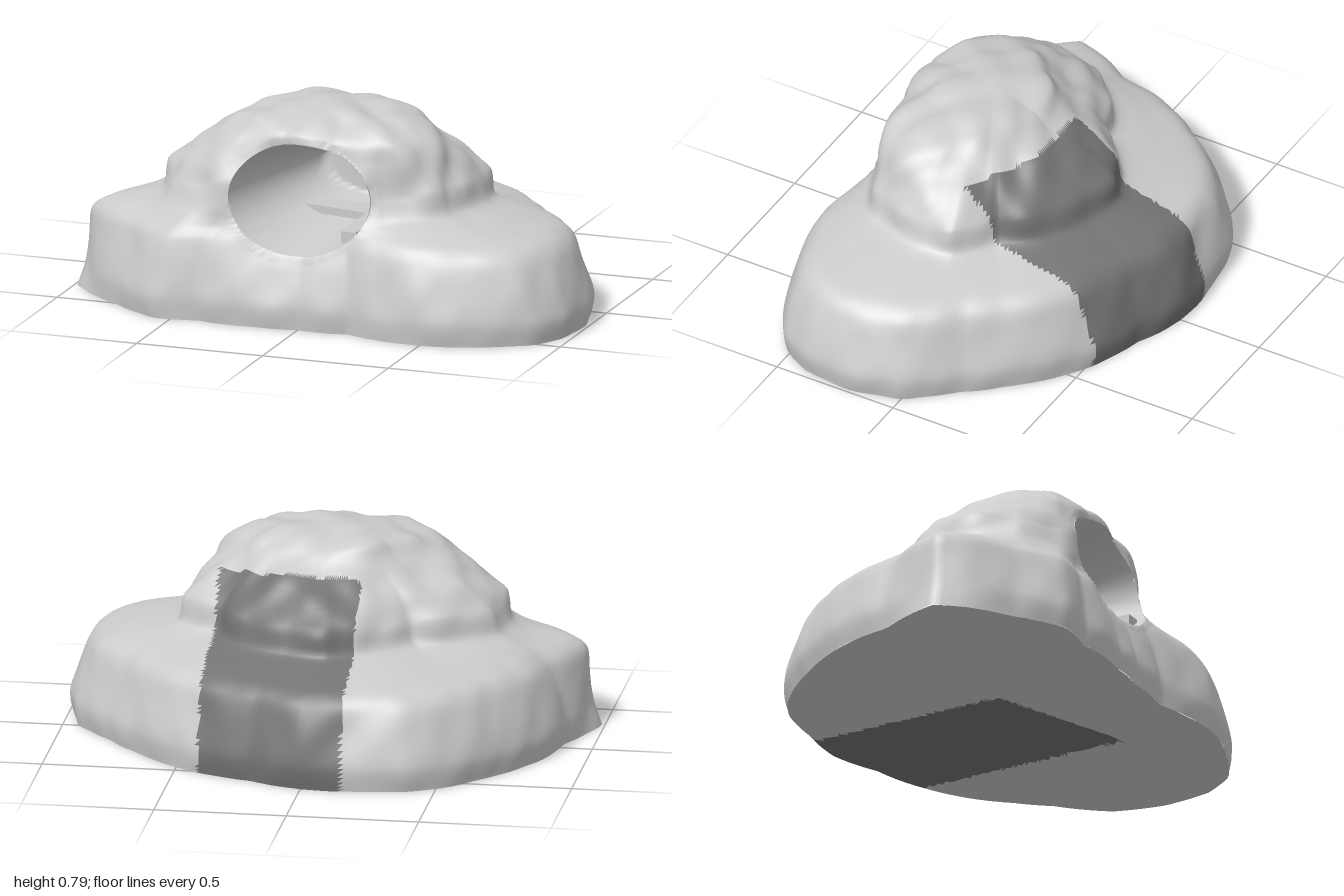
import * as THREE from 'three';

const ANGLES = 220, ROWS = 72, CZ = 0.14;

// Plan outlines as x, z pairs
const BASE = [1, .2, .98, .4, .9, .53, .7, .63, .5, .68, .35, .66, .2, .62, 0, .63, -.15, .64, -.4, .63, -.57, .65,
  -.75, .53, -.92, .41, -1, .31, -.9, .05, -.87, -.1, -.7, -.4, -.5, -.6, -.4, -.65, -.2, -.67, 0, -.68, .2, -.6,
  .42, -.52, .6, -.4, .7, -.29, .8, -.17, .95, 0];
const UPPER = [.57, .12, .53, .28, .5, .37, .42, .44, .3, .49, .1, .51, -.05, .48, -.15, .48, -.25, .53, -.4, .54, -.57, .45,
  -.65, .2, -.63, .05, -.5, -.08, -.35, -.15, -.2, -.29, -.05, -.36, .1, -.33, .3, -.23, .4, -.1, .55, .01];
const TOP = [.38, .15, .38, .34, .3, .43, .1, .48, -.1, .47, -.3, .46, -.37, .35, -.37, .15, -.25, .04, 0, -.07, .25, .02];

// Radius of an outline as a function of angle
function polar(points) {
  const list = [];
  for (let i = 0; i < points.length; i += 2) {
    const x = points[i], z = points[i + 1] - CZ;
    list.push([(Math.atan2(z, x) + 2 * Math.PI) % (2 * Math.PI), Math.hypot(x, z)]);
  }
  list.sort((p, q) => p[0] - q[0]);
  const last = list[list.length - 1], first = list[0];
  list.unshift([last[0] - 2 * Math.PI, last[1]]);
  list.push([first[0] + 2 * Math.PI, first[1]]);
  return (a) => {
    let k = 0;
    while (k < list.length - 2 && list[k + 1][0] < a) k++;
    const [a0, r0] = list[k], [a1, r1] = list[k + 1];
    return THREE.MathUtils.lerp(r0, r1, (a - a0) / (a1 - a0));
  };
}

// Presses the cave into the front of the mound
function carveCave(p) {
  if (p.z < 0.22) return;
  const dx = (p.x + 0.03) / 0.275, dy = (p.y - 0.475) / 0.205;
  const e = Math.hypot(dx, dy);
  if (e > 1.07 || e < 1e-5) return;
  const ux = dx / e, uy = dy / e;
  const t = e > 0.93 ? 1 : e / 0.93;
  const wall = THREE.MathUtils.clamp((t - 0.4) / 0.6, 0, 1);
  const size = t > 0.4 ? 1 : t / 0.4;
  const L = THREE.MathUtils.lerp;
  p.x = L(0.06, -0.03, wall) + ux * size * L(0.19, 0.275, wall);
  p.y = L(0.485, 0.475, wall) + uy * size * L(0.115, 0.205, wall);
  p.z = L(-0.02, p.z, wall);
}

// Grid of points wrapped around the vertical axis
function wrapGrid(rows, pointAt) {
  const pos = [], index = [];
  for (let i = 0; i <= rows; i++) {
    for (let j = 0; j < ANGLES; j++) pos.push(...pointAt(i / rows, j / ANGLES * Math.PI * 2).toArray());
  }
  for (let i = 0; i < rows; i++) {
    for (let j = 0; j < ANGLES; j++) {
      const k = (j + 1) % ANGLES;
      const a = i * ANGLES + j, b = a + ANGLES, c = i * ANGLES + k, d = c + ANGLES;
      index.push(a, b, c, b, d, c);
    }
  }
  const g = new THREE.BufferGeometry();
  g.setAttribute('position', new THREE.Float32BufferAttribute(pos, 3));
  g.setIndex(index);
  g.computeVertexNormals();
  return g;
}

// Splits a surface into plain rock and a darker band, sharing smooth normals
function addBanded(group, geometry, name, inBand, light, dark) {
  const p = geometry.attributes.position, idx = geometry.index.array, sets = [[], []];
  for (let i = 0; i < idx.length; i += 3) {
    const t = [idx[i], idx[i + 1], idx[i + 2]];
    const mean = (f) => (f(t[0]) + f(t[1]) + f(t[2])) / 3;
    sets[inBand(mean((n) => p.getX(n)), mean((n) => p.getZ(n)), mean((n) => p.getY(n))) ? 1 : 0].push(...t);
  }
  sets.forEach((s, n) => {
    const g = geometry.clone();
    g.setIndex(s);
    const mesh = new THREE.Mesh(g, n ? dark : light);
    mesh.name = n ? name + 'DarkBand' : name;
    group.add(mesh);
  });
}

export function createModel() {
  const group = new THREE.Group();
  group.name = 'caveMound';
  const rock = new THREE.MeshStandardMaterial({ color: 0xcccccc });
  const darkRock = new THREE.MeshStandardMaterial({ color: 0x747474 });
  const foot = polar(BASE), upper = polar(UPPER), top = polar(TOP);
  const bump = (a, centre, width) => Math.exp(-(((a - centre) / width) ** 2));
  // Above ground the base lacks the small toe on its right side, but stands steeper there
  const toe = (a) => bump(a, 2.98, 0.2);
  const base = (a) => foot(a) * (1 - 0.04 * toe(a));
  const collar = (a) => Math.min(upper(a) * 1.02, base(a) * 0.85);
  // Below the cave mouth the base slopes straight up to the upper rock, without a shelf
  const shoulder = (a, scale, slope) =>
    THREE.MathUtils.lerp(base(a) * scale, THREE.MathUtils.lerp(base(a), collar(a), slope), bump(a, 1.6, 0.6));

  // Rings from ground to summit: height and radius rule
  const rings = [
    [0, (a) => foot(a) * 0.985], [0.09, (a) => base(a)],
    [0.22, (a) => shoulder(a, 0.96 + 0.03 * toe(a), 0.3)],
    [0.305, (a) => shoulder(a, 0.92 + 0.055 * toe(a), 0.6)],
    [0.35, (a) => shoulder(a, 0.86 + 0.06 * toe(a), 0.78)],
    [0.385, (a) => THREE.MathUtils.lerp(base(a) * 0.43 + collar(a) * 0.5, collar(a) * 1.01, bump(a, 1.6, 0.6))],
    [0.425, collar],
    [0.52, (a) => upper(a) * 0.96], [0.62, (a) => upper(a) * 0.52 + top(a) * 0.45],
    [0.695, (a) => upper(a) * 0.06 + top(a) * 0.92], [0.745, (a) => top(a) * 0.8],
    [0.775, (a) => top(a) * 0.5], [0.787, () => 0],
  ];

  const mound = wrapGrid(ROWS, (v, a) => {
    // Piecewise blend between neighbouring rings, slightly rounded
    const s = v * (rings.length - 1), k = Math.min(Math.floor(s), rings.length - 2), f = s - k;
    const at = (n) => rings[THREE.MathUtils.clamp(n, 0, rings.length - 1)];
    const mix = (w) => {
      const [p0, p1, p2, p3] = [k - 1, k, k + 1, k + 2].map((n) => w(at(n)));
      const m1 = (p2 - p0) / 2 * 0.85, m2 = (p3 - p1) / 2 * 0.85, f2 = f * f, f3 = f2 * f;
      return p1 * (2 * f3 - 3 * f2 + 1) + m1 * (f3 - 2 * f2 + f) + p2 * (3 * f2 - 2 * f3) + m2 * (f3 - f2);
    };
    const y = mix((r) => r[0]), r = Math.max(0, mix((q) => q[1](a)));
    const p = new THREE.Vector3(Math.cos(a) * r, y, CZ + Math.sin(a) * r);
    // Weathered lumps, stronger on the upper rock
    const wave = (q, ph) => Math.sin(p.x * q + ph + 1.3 * Math.sin(p.z * 9)) * Math.sin(p.z * q * 0.9 + 2 * ph)
      * Math.cos(p.y * q * 0.8 + ph);
    const lump = wave(15, 0.6) + 0.7 * wave(27, 2.1);
    const amount = 0.006 + 0.01 * THREE.MathUtils.smoothstep(p.y, 0.42, 0.55);
    p.x += Math.cos(a) * lump * amount * Math.min(1, r * 5);
    p.z += Math.sin(a) * lump * amount * Math.min(1, r * 5);
    if (p.y > 0.5) p.y += lump * 0.008;
    carveCave(p);
    return p;
  });
  addBanded(group, mound, 'rockMound',
    (x, z, y) => x > -0.15 && x < 0.41 && z < -0.13 + Math.max(0, x - 0.15) * 0.65 && !(y < 0.62 && z > -0.06 && x < 0.27),
    rock, darkRock);

  // Flat underside
  const underside = wrapGrid(24, (v, a) => {
    const r = foot(a) * 0.985 * v;
    return new THREE.Vector3(Math.cos(a) * r, 0, CZ + Math.sin(a) * r);
  });
  addBanded(group, underside, 'underside', (x, z) => x > -0.15 && x < 0.41 && z < 0.18 + x * 0.4, rock, darkRock);

  // Beam resting in the cave mouth
  const beam = new THREE.Mesh(new THREE.BoxGeometry(0.06, 0.045, 0.4), rock);
  beam.name = 'caveBeam';
  beam.position.set(0.165, 0.347, 0.32);
  group.add(beam);

  // Thin ledge across the cave floor
  const outline = new THREE.Shape([[0.19, -0.25], [-0.15, -0.19], [-0.13, -0.13], [0.17, -0.08]].map((q) => new THREE.Vector2(...q)));
  const ledge = new THREE.Mesh(new THREE.ExtrudeGeometry(outline, { depth: 0.03, bevelEnabled: false }), rock);
  ledge.name = 'caveLedge';
  ledge.rotation.x = -Math.PI / 2;
  ledge.position.y = 0.338;
  group.add(ledge);

  return group;
}
